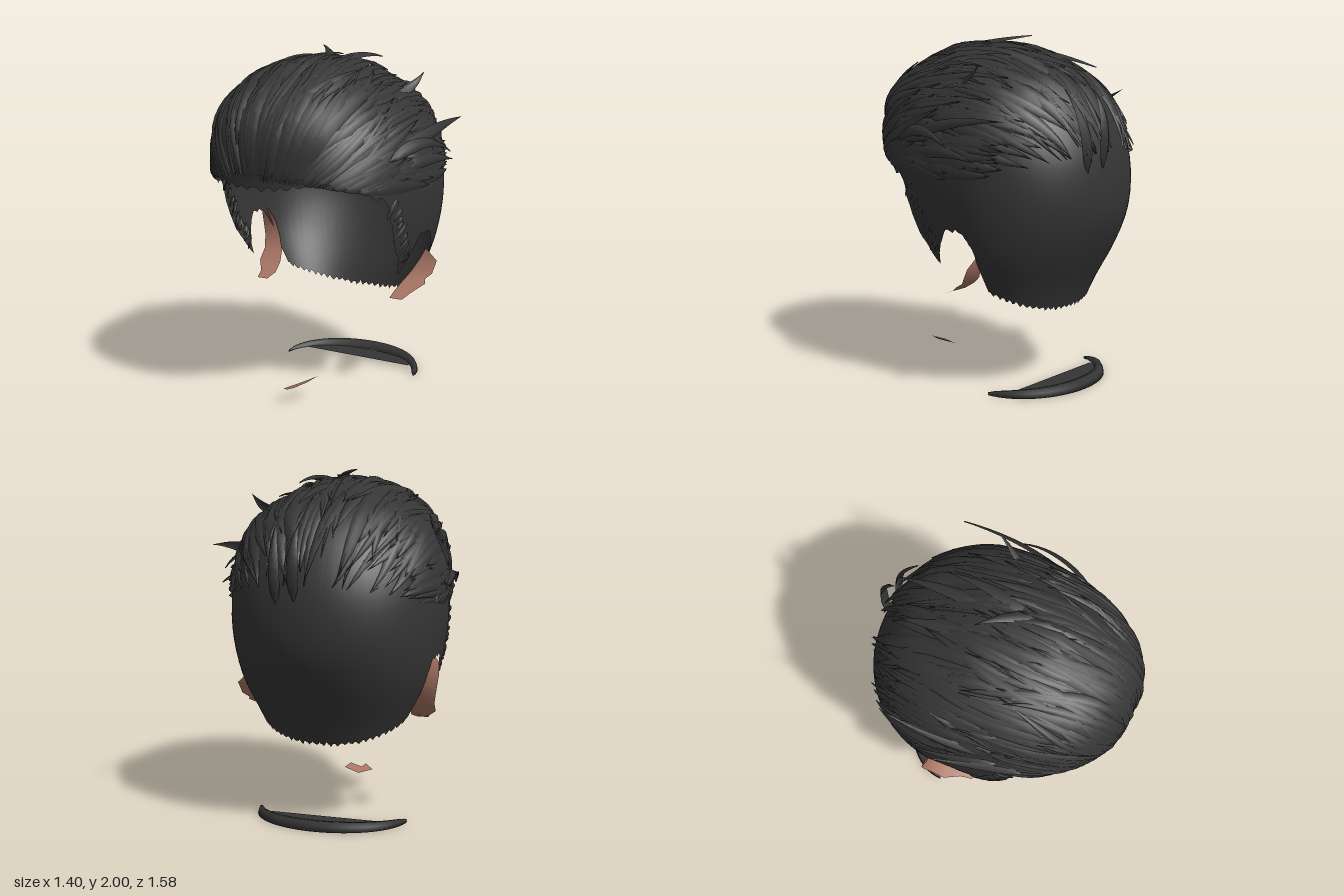
import * as THREE from 'three';
import { mergeGeometries } from 'three/addons/utils/BufferGeometryUtils.js';

const V = (x, y, z) => new THREE.Vector3(x, y, z);
const lerp = THREE.MathUtils.lerp;
const CENTRE = V(0, 1.2, 0);

// Small seeded random
let seed = 7;
const rand = (a = 0, b = 1) => {
  seed = (seed * 16807) % 2147483647;
  return a + (b - a) * (seed / 2147483647);
};

// Cross-sections of the head of hair: y, half width, middle z, front z, back z
const SECTIONS = [
  [1.94, 0, 0.08, 0.08, 0.08], [1.925, 0.14, 0.05, 0.28, -0.12], [1.885, 0.26, 0, 0.38, -0.25],
  [1.835, 0.35, 0, 0.49, -0.36], [1.74, 0.46, -0.05, 0.64, -0.52], [1.6, 0.545, -0.1, 0.74, -0.645],
  [1.4, 0.59, -0.18, 0.765, -0.735], [1.2, 0.605, -0.2, 0.77, -0.765], [1, 0.59, -0.2, 0.74, -0.745],
  [0.8, 0.545, -0.2, 0.65, -0.66], [0.6, 0.45, -0.2, 0.5, -0.55], [0.45, 0.38, -0.2, 0.4, -0.485],
];
const curveA = new THREE.CatmullRomCurve3(SECTIONS.map(s => V(s[1], s[0], s[2])), false, 'catmullrom');
const curveB = new THREE.CatmullRomCurve3(SECTIONS.map(s => V(s[3], s[4], 0)), false, 'catmullrom');
const ring = t => {
  const a = curveA.getPoint(t), b = curveB.getPoint(t);
  return { y: a.y, w: Math.max(a.x, 0), zc: a.z, zf: b.x, zb: b.y };
};
const STEPS = 300;
const RINGS = Array.from({ length: STEPS + 1 }, (_, i) => ring(i / STEPS));
const FRONT_POWER = 2.3, BACK_POWER = 2.05;

function ringPoint(r, phi) {
  const s = Math.sin(phi), c = Math.cos(phi), e = 2 / (c > 0 ? FRONT_POWER : BACK_POWER);
  const ext = c > 0 ? r.zf - r.zc : r.zc - r.zb;
  return V(Math.sign(s) * Math.abs(s) ** e * r.w, r.y, r.zc + Math.sign(c) * Math.abs(c) ** e * ext);
}

function inside(p) {
  if (p.y >= RINGS[0].y) return false;
  let lo = 0, hi = STEPS;
  while (hi - lo > 1) {
    const m = (lo + hi) >> 1;
    if (RINGS[m].y > p.y) lo = m; else hi = m;
  }
  const r = RINGS[hi], d = p.z - r.zc, ext = d > 0 ? r.zf - r.zc : r.zc - r.zb;
  const power = d > 0 ? FRONT_POWER : BACK_POWER;
  return Math.abs(p.x / r.w) ** power + Math.abs(d / ext) ** power < 1;
}

// Point of the hair surface in a direction from the centre
function project(dir) {
  const d = dir.clone().normalize();
  let lo = 0, hi = 1.3;
  for (let i = 0; i < 20; i++) {
    const m = (lo + hi) / 2;
    if (inside(d.clone().multiplyScalar(m).add(CENTRE))) lo = m; else hi = m;
  }
  return d.multiplyScalar(lo).add(CENTRE);
}

// Lower hairline height by z: nape, ear notch, sideburn, fringe
const HAIRLINE = [
  [-0.8, 0.475], [-0.49, 0.475], [-0.27, 0.6], [-0.262, 0.82], [-0.23, 0.91], [-0.15, 0.96], [-0.08, 0.95],
  [-0.02, 0.88], [0.02, 0.78], [0.05, 0.73], [0.1, 0.8], [0.15, 0.88], [0.22, 1], [0.26, 1.1], [0.28, 1.2],
  [0.4, 1.24], [0.5, 1.3], [0.65, 1.34], [0.8, 1.29],
];
function hairline(z) {
  const i = Math.max(1, HAIRLINE.findIndex(h => h[0] > z));
  const [z0, y0] = HAIRLINE[i - 1], [z1, y1] = HAIRLINE[i];
  return lerp(y0, y1, (z - z0) / (z1 - z0));
}

function indexed(points, index) {
  const g = new THREE.BufferGeometry();
  g.setAttribute('position', new THREE.Float32BufferAttribute(points.flatMap(p => p.toArray()), 3));
  g.setIndex(index);
  g.computeVertexNormals();
  return g;
}

// Grid of rows, each an equally long list of points
function loft(rows, closed = false) {
  const n = rows[0].length, m = rows.length, index = [];
  for (let i = 0; i < (closed ? m : m - 1); i++) {
    for (let j = 0; j < n - 1; j++) {
      const a = i * n + j, c = ((i + 1) % m) * n + j;
      index.push(a, a + 1, c, a + 1, c + 1, c);
    }
  }
  return indexed(rows.flat(), index);
}

// Smooth cap with a saw-toothed lower edge
function capGeometry() {
  const cols = [], n = 360, rows = 30;
  for (let i = 0; i < n; i++) {
    const phi = (i / n) * Math.PI * 2;
    const jag = 0.022 * Math.abs((i % 6) / 3 - 1) - 0.012 + rand(-0.005, 0.005);
    let end = 0;
    while (end < STEPS) {
      const p = ringPoint(RINGS[end], phi);
      if (p.y < hairline(p.z) + jag) break;
      end++;
    }
    cols.push(Array.from({ length: rows + 1 }, (_, j) => ringPoint(ring((end / STEPS) * (j / rows)), phi)));
  }
  return loft(cols, true);
}

// Pointed lock of hair with a raised ridge along a list of points
function lock(points, width, height, taper = 0.7) {
  const last = points.length - 1;
  return loft(points.map((p, i) => {
    const t = i / last;
    const tangent = points[Math.min(i + 1, last)].clone().sub(points[Math.max(i - 1, 0)]).normalize();
    const side = tangent.clone().cross(p.clone().sub(CENTRE)).normalize();
    const out = side.clone().cross(tangent);
    const k = Math.sin(Math.PI * Math.min(1, t ** taper * 0.97 + 0.03));
    return [
      p.clone().addScaledVector(side, -width * k).addScaledVector(out, -0.006),
      p.clone().addScaledVector(out, height * k),
      p.clone().addScaledVector(side, width * k).addScaledVector(out, -0.006),
    ];
  }));
}

// Combed-back flow: u runs across the head, t from fringe to crown
function flow(u, t) {
  const a = V(0.52 * u, 0.13 - 0.06 * u * u, 0.74 - 0.25 * u * u);
  const b = V(0.55 * u, 0.17 - 0.07 * u * u, -0.7 + 0.2 * u * u);
  const m = V(Math.sin(u * 1.42), Math.cos(u * 1.42), 0);
  return a.multiplyScalar((1 - t) ** 2).addScaledVector(m, 1.5 * t * (1 - t)).addScaledVector(b, t * t);
}

function combedLocks() {
  const list = [], count = 240, seg = 14;
  for (let i = 0; i < count; i++) {
    const u = (i / (count - 1)) * 2 - 1, drift = rand(-0.16, 0.12), wave = rand(-0.03, 0.03);
    const start = i % 3 === 0 ? 0 : rand(0, 0.62), len = Math.min(rand(0.3, 0.6), 1 - start);
    const lift = rand(0, 0.04);
    const pts = Array.from({ length: seg + 1 }, (_, j) => {
      const t = j / seg, across = u + drift * t * t + wave * Math.sin(t * 5);
      const p = project(flow(across, start + len * t));
      return p.add(p.clone().sub(CENTRE).normalize().multiplyScalar(lift * t ** 3));
    });
    list.push(lock(pts, rand(0.025, 0.06), rand(0.012, 0.032)));
  }
  return mergeGeometries(list);
}

// Loose tufts: base, bend, tip
const TUFTS = [
  [[0.14, 1.91, 0.26], [0.06, 1.97, 0], [-0.1, 2, -0.13]],
  [[0.1, 1.93, 0.1], [0.16, 1.97, -0.15], [0.15, 1.925, -0.4]],
  [[0.05, 1.91, -0.15], [0.08, 1.89, -0.4], [0.06, 1.82, -0.65]],
  [[-0.1, 1.91, -0.1], [-0.14, 1.88, -0.35], [-0.16, 1.83, -0.55]],
  [[0.38, 1.74, 0], [0.47, 1.75, -0.15], [0.5, 1.86, -0.25]],
  [[0.57, 1.42, 0.3], [0.68, 1.58, 0.05], [0.7, 1.42, -0.2]],
  [[0.57, 1.45, 0.2], [0.65, 1.58, -0.15], [0.62, 1.58, -0.53]],
  [[0.58, 1.36, 0.15], [0.65, 1.42, -0.1], [0.65, 1.35, -0.35]],
  [[-0.56, 1.36, 0.35], [-0.63, 1.38, 0.1], [-0.7, 1.43, -0.13]],
  [[-0.56, 1.45, 0.15], [-0.63, 1.5, -0.1], [-0.63, 1.67, -0.4]],
  [[-0.5, 1.55, 0.1], [-0.56, 1.6, -0.05], [-0.55, 1.75, -0.2]],
  [[-0.58, 1.4, 0.2], [-0.65, 1.4, 0], [-0.66, 1.35, -0.25]],
  [[0.05, 1.3, -0.76], [0.06, 1.6, -0.82], [0.04, 1.72, -0.68]],
  [[0.16, 1.28, -0.74], [0.18, 1.55, -0.78], [0.2, 1.73, -0.61]],
];
function tuftLocks() {
  return mergeGeometries(TUFTS.map(([a, b, c]) =>
    lock(new THREE.QuadraticBezierCurve3(V(...a), V(...b), V(...c)).getPoints(10), 0.036, 0.018, 0.6)));
}

// Ragged points on the front edge of a sideburn
function sideburnLocks(side) {
  const list = [];
  for (let i = 0; i < 12; i++) {
    const t = i / 11, z = lerp(0.26, 0.06, t) + rand(-0.015, 0.02), y = lerp(1.2, 0.8, t) + rand(-0.02, 0.02);
    const drop = rand(0.01, 0.024), push = rand(0.008, 0.022);
    const pts = Array.from({ length: 6 }, (_, j) =>
      project(V(side * 0.57, y - 1.18 - j * drop, z - 0.06 + j * push)));
    list.push(lock(pts, rand(0.012, 0.024), 0.012));
  }
  return mergeGeometries(list);
}

// Curved strips behind the ears: y, z, inner x, outer x
const RIGHT_EAR = [
  [0.95, -0.23, 0.57, 0.6], [0.93, -0.24, 0.56, 0.62], [0.86, -0.262, 0.53, 0.625], [0.77, -0.26, 0.5, 0.61],
  [0.69, -0.22, 0.46, 0.59], [0.63, -0.15, 0.43, 0.58], [0.585, -0.07, 0.415, 0.52], [0.56, 0, 0.43, 0.5],
];
const LEFT_EAR = [
  [0.81, -0.264, 0.52, 0.53], [0.75, -0.255, 0.49, 0.6], [0.68, -0.215, 0.455, 0.59],
  [0.65, -0.18, 0.44, 0.56], [0.63, -0.15, 0.43, 0.575], [0.585, -0.07, 0.415, 0.52], [0.56, 0, 0.42, 0.5],
];
const earStrip = (table, side) => loft(table.map(([y, z, a, b]) =>
  [V(side * (side > 0 ? a : b), y, z), V(side * (side > 0 ? b : a), y, z)]));

// Crescent collar rim
function collarRim() {
  const rows = [], n = 32;
  for (let i = 0; i <= n; i++) {
    const s = (i / n) * 2 - 1, a = s * Math.PI / 2, k = Math.max(0.12, Math.sqrt(1 - s * s));
    const at = (inset, y) => V((0.45 - inset) * Math.sin(a), y, -0.27 - (0.35 - inset) * Math.cos(a));
    rows.push([at(0.07 * k, 0.015), at(0.06 * k, 0.01 + 0.04 * k), at(0.02 * k, 0.01 + 0.047 * k),
      at(0.005, 0.006 + 0.025 * k), at(0, 0), at(0.07 * k, 0.015)]);
  }
  return loft(rows);
}

function collarPlate() {
  const shape = new THREE.Shape([new THREE.Vector2(-0.36, -0.38), new THREE.Vector2(0.36, -0.38)]);
  for (let i = 1; i < 16; i++) {
    const a = (i / 16) * Math.PI;
    shape.lineTo(0.36 * Math.cos(a), -0.38 - 0.155 * Math.sin(a));
  }
  return new THREE.ShapeGeometry(shape).rotateX(Math.PI / 2).translate(0, 0.02, 0);
}

export function createModel() {
  seed = 7;
  const hair = new THREE.MeshStandardMaterial({ color: 0x353535, side: THREE.DoubleSide });
  hair.name = 'charcoal hair';
  const skin = new THREE.MeshStandardMaterial({ color: 0xa87564, side: THREE.DoubleSide });
  skin.name = 'tan skin';
  const group = new THREE.Group();
  const add = (name, geometry, material) => {
    const mesh = new THREE.Mesh(geometry, material);
    mesh.name = name;
    group.add(mesh);
  };
  add('hairCap', capGeometry(), hair);
  add('combedLocks', combedLocks(), hair);
  add('looseTufts', tuftLocks(), hair);
  add('leftSideburn', sideburnLocks(1), hair);
  add('rightSideburn', sideburnLocks(-1), hair);
  add('leftEarStrip', earStrip(LEFT_EAR, 1), skin);
  add('rightEarStrip', earStrip(RIGHT_EAR, -1), skin);
  add('collarRim', collarRim(), hair);
  add('collarPlate', collarPlate(), hair);
  // Small bent skin flake below the chin
  add('chinFlake', indexed([V(0.06, 0.105, 0.55), V(0.07, 0.098, 0.49), V(0.13, 0.13, 0.45),
    V(0.13, 0.13, 0.33), V(0.05, 0.09, 0.36), V(0, 0.083, 0.5)], [0, 1, 5, 1, 4, 5, 1, 2, 4, 2, 3, 4]), skin);
  return group;
}
